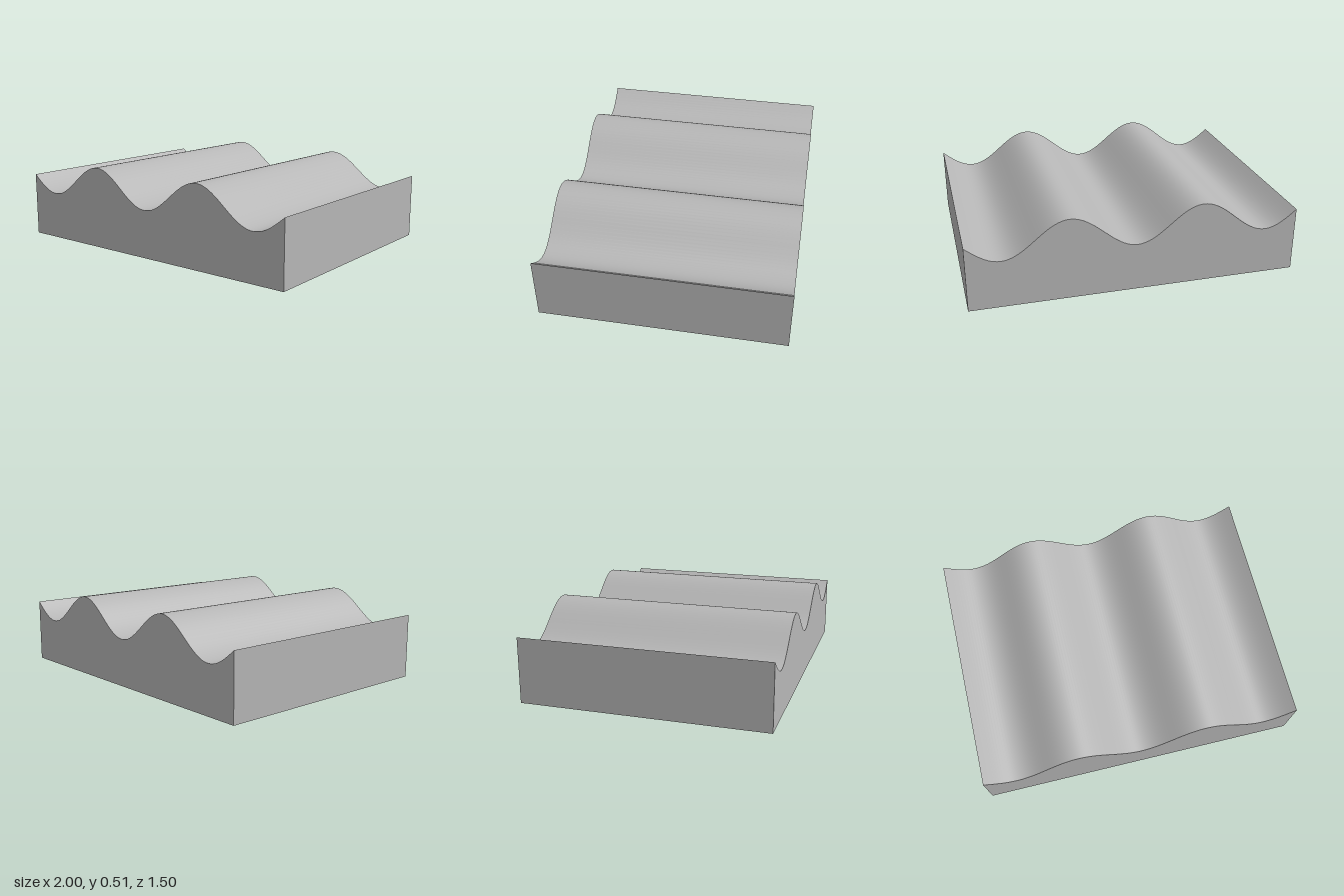
import * as THREE from 'three';
import { toCreasedNormals } from 'three/addons/utils/BufferGeometryUtils.js';

const WIDTH = 2, DEPTH = 1.5;
const MID = 0.401, AMPLITUDE = 0.106, WAVELENGTH = 0.8, STEPS = 120;

// Height of the rippled top at a given x
const waveHeight = (x) => MID - AMPLITUDE * Math.cos((2 * Math.PI * x) / WAVELENGTH);

export function createModel() {
  const group = new THREE.Group();
  group.name = 'waveBlock';

  const grey = new THREE.MeshStandardMaterial({ color: 0xb6b6b6 });
  grey.name = 'grey';

  // Cross-section: flat base, upright ends, wavy top
  const profile = new THREE.Shape();
  profile.moveTo(-WIDTH / 2, 0);
  profile.lineTo(WIDTH / 2, 0);
  for (let i = 0; i <= STEPS; i++) {
    const x = WIDTH / 2 - (WIDTH * i) / STEPS;
    profile.lineTo(x, waveHeight(x));
  }
  profile.closePath();

  // Solid block with smooth waves and sharp outer edges
  const extruded = new THREE.ExtrudeGeometry(profile, { depth: DEPTH, bevelEnabled: false });
  extruded.translate(0, 0, -DEPTH / 2);
  extruded.clearGroups();
  const block = new THREE.Mesh(toCreasedNormals(extruded, Math.PI / 6), grey);
  block.name = 'wavyBlock';
  group.add(block);

  return group;
}
